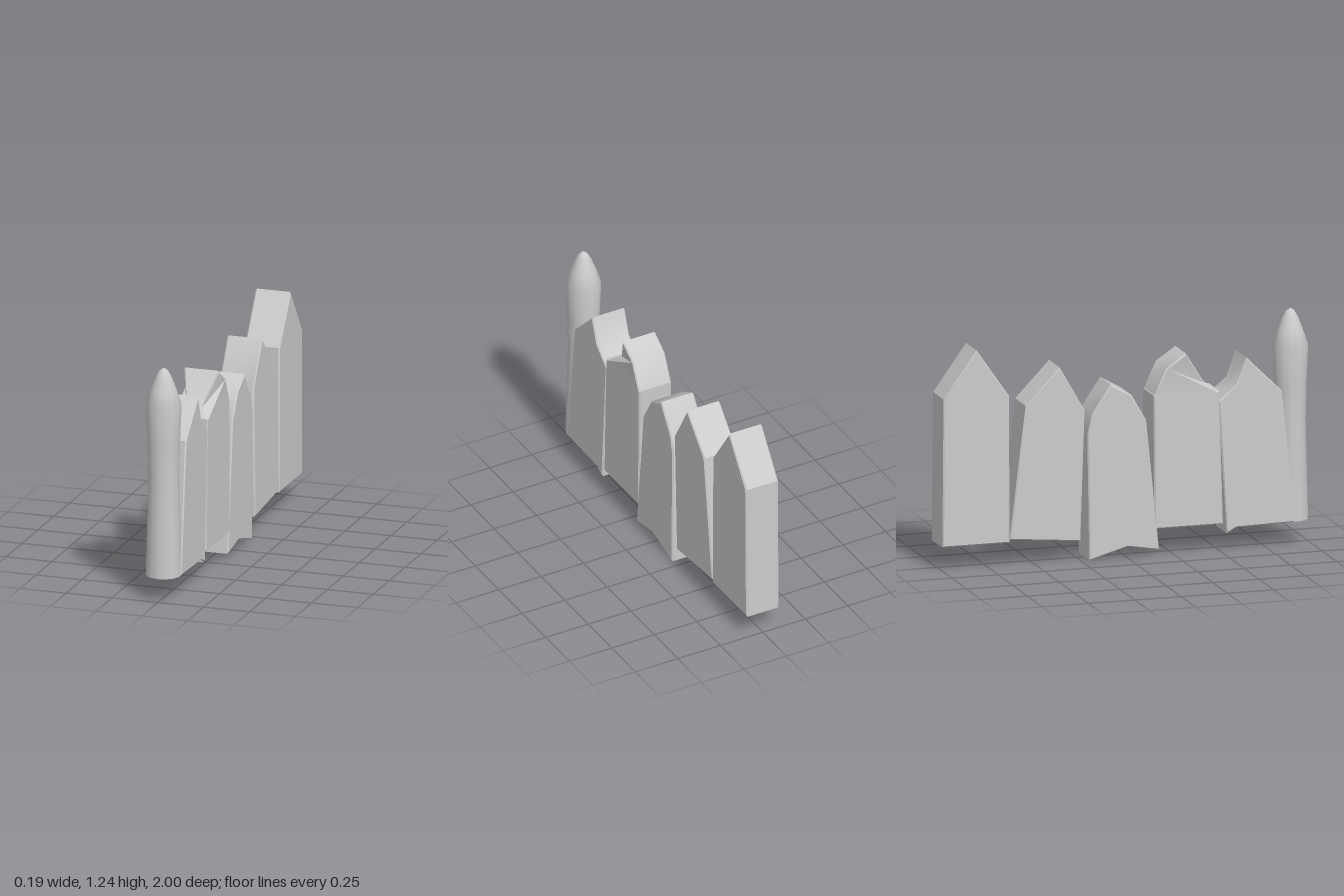
import * as THREE from 'three';
import { toCreasedNormals } from 'three/addons/utils/BufferGeometryUtils.js';

const HALF = 0.096;   // half thickness of a plank
const BEVEL = 0.007;

const material = new THREE.MeshStandardMaterial({ color: 0xcccccc, side: THREE.DoubleSide });

// Plank from a (z, y) outline, bevelled and open at the bottom.
function plankGeometry(outline, reshape) {
  const shape = new THREE.Shape(outline.map(([z, y]) => new THREE.Vector2(z, y)));
  const solid = new THREE.ExtrudeGeometry(shape, {
    depth: 2 * (HALF - BEVEL), bevelEnabled: true, bevelSegments: 1,
    bevelSize: BEVEL, bevelThickness: BEVEL, bevelOffset: -BEVEL,
  });
  solid.translate(0, 0, BEVEL - HALF).rotateY(-Math.PI / 2);

  // keep every triangle that does not face down
  const pos = solid.attributes.position;
  const kept = [];
  const tri = new THREE.Triangle();
  const normal = new THREE.Vector3();
  for (let i = 0; i < pos.count; i += 3) {
    tri.setFromAttributeAndIndices(pos, i, i + 1, i + 2);
    tri.getNormal(normal);
    if (normal.y < -0.85) continue;
    for (const p of [tri.a, tri.b, tri.c]) {
      if (reshape) reshape(p);
      kept.push(p.x, p.y, p.z);
    }
  }
  const geometry = new THREE.BufferGeometry();
  geometry.setAttribute('position', new THREE.Float32BufferAttribute(kept, 3));
  return toCreasedNormals(geometry, 0.6);
}

export function createModel() {
  const group = new THREE.Group();
  group.name = 'palisade';
  const add = (name, geometry) => {
    const mesh = new THREE.Mesh(geometry, material);
    mesh.name = name;
    group.add(mesh);
    return mesh;
  };

  // Round post with a waisted shaft and a blunt pointed tip
  const profile = [
    [0.093, 0.127], [0.086, 0.4], [0.08, 0.66], [0.085, 0.85], [0.093, 1.05],
    [0.067, 1.125], [0.042, 1.19], [0.022, 1.225], [0, 1.24],
  ].map(([r, y]) => new THREE.Vector2(r, y));
  add('roundPost', new THREE.LatheGeometry(profile, 14)).position.z = 0.907;

  // Planks from front to back
  add('leaningPlank', plankGeometry([
    [0.908, 0.127], [0.585, 0.12], [0.535, 0.092], [0.49, 0.795],
    [0.59, 0.88], [0.64, 1.017], [0.69, 0.967], [0.83, 0.83],
  ]));
  add('chippedPlankBody', plankGeometry([
    [0.515, 0.143], [0.145, 0.143], [0.14, 0.85], [0.495, 0.85],
  ]));

  // Chipped head: the notch is pinched in from both faces
  const notch = new THREE.Vector2(0.425, 0.895);
  add('chippedPlankHead', plankGeometry([
    [0.495, 0.838], [notch.x, notch.y], [0.315, 1.06], [0.21, 0.99], [0.14, 0.838],
  ], (p) => {
    if (Math.hypot(p.z - notch.x, p.y - notch.y) < 0.03) p.x *= 0.45;
  }));

  add('lowPlank', plankGeometry([
    [0.17, 0.032], [0, 0.06], [-0.207, 0.002], [-0.217, 0.67],
    [-0.19, 0.78], [-0.092, 0.925], [0.02, 0.862], [0.1, 0.725],
  ]));
  add('taperedPlank', plankGeometry([
    [-0.255, 0.108], [-0.637, 0.142], [-0.55, 0.845], [-0.367, 1.035], [-0.232, 0.8],
  ]));
  add('tallPlank', plankGeometry([
    [-0.637, 0.127], [-1, 0.127], [-0.993, 0.91], [-0.815, 1.157], [-0.64, 0.905],
  ]));
  return group;
}
